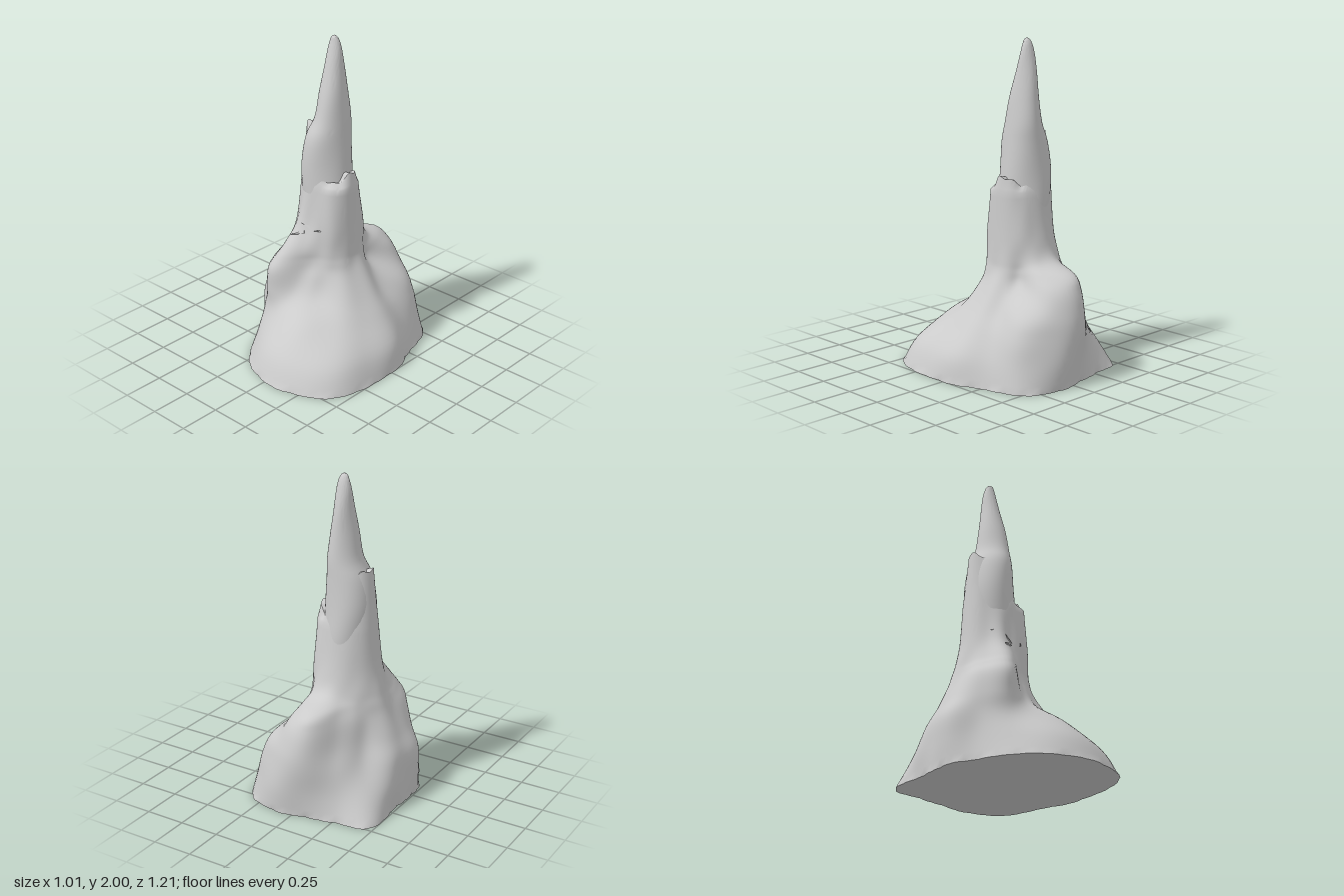
import * as THREE from 'three';
import { toCreasedNormals } from 'three/addons/utils/BufferGeometryUtils.js';

const AXIS_X = -0.08, AXIS_Z = -0.08, AROUND = 96;

// Catmull-Rom between b and c
const spline = (a, b, c, d, t) => b + 0.5 * t * (c - a + t * (2 * a - 5 * b + 4 * c - d + t * (3 * (b - c) + d - a)));

// Samples a closed list of values at u in 0..1
function around(list, u) {
  const n = list.length, f = u * n, i = Math.floor(f);
  const at = k => list[(k + n) % n];
  return spline(at(i - 1), at(i), at(i + 1), at(i + 2), f - i);
}

// Samples an open list, read through a getter, between entries j and j + 1
function along(get, count, j, t) {
  const at = k => get(THREE.MathUtils.clamp(k, 0, count - 1));
  return spline(at(j - 1), at(j), at(j + 1), at(j + 2), t);
}

// Joins closed rings of points, running from bottom to top, and closes both ends
function loft(rings) {
  const n = rings[0].length, pos = rings.flat(2), index = [];
  for (let j = 0; j < rings.length - 1; j++) {
    for (let i = 0; i < n; i++) {
      const k = (i + 1) % n, a = j * n + i, b = j * n + k;
      index.push(a, a + n, b, b, a + n, b + n);
    }
  }
  const addCap = (ring, start, up) => {
    const centre = pos.length / 3;
    pos.push(...[0, 1, 2].map(c => ring.reduce((s, p) => s + p[c], 0) / n));
    for (let i = 0; i < n; i++) {
      const k = (i + 1) % n;
      index.push(centre, start + (up ? k : i), start + (up ? i : k));
    }
  };
  addCap(rings[0], 0, false);
  addCap(rings[rings.length - 1], (rings.length - 1) * n, true);
  const g = new THREE.BufferGeometry();
  g.setAttribute('position', new THREE.Float32BufferAttribute(pos, 3));
  g.setIndex(index);
  return toCreasedNormals(g, 0.9);
}

// Rock body: radius in 16 directions (from +x towards +z) at each height
const HEIGHTS = [0, 0.15, 0.3, 0.42, 0.55, 0.63, 0.7, 0.85, 1.1];
const RADII = [
  [.575, .63, .73, .72, .66, .56, .46, .44, .41, .44, .56, .49, .49, .56, .60, .54],
  [.54, .57, .64, .64, .58, .49, .43, .44, .41, .435, .47, .45, .50, .56, .56, .50],
  [.43, .44, .45, .48, .44, .41, .41, .43, .40, .39, .37, .42, .51, .54, .52, .43],
  [.34, .34, .32, .30, .33, .40, .40, .37, .35, .32, .31, .38, .50, .51, .45, .34],
  [.26, .25, .24, .23, .27, .40, .37, .31, .29, .27, .27, .34, .47, .44, .26, .25],
  [.22, .22, .22, .20, .25, .36, .31, .27, .26, .25, .24, .29, .42, .34, .22, .22],
  [.21, .21, .215, .195, .24, .31, .26, .24, .24, .23, .22, .23, .25, .24, .21, .21],
  [.20, .205, .21, .19, .18, .21, .20, .21, .21, .20, .19, .19, .19, .19, .20, .20],
  [.19, .195, .185, .16, .155, .155, .165, .185, .19, .185, .17, .155, .15, .15, .16, .18],
];
// Broken rim of the body: it only stands clear of the spire to the sides
const RIM_Y = [1.19, 1.13, 1.25, 1.38, 1.44, 1.40, 1.25, 1.15];
const RIM_R = [.175, .145, .12, .13, .165, .13, .12, .13];

function bodyGeometry() {
  const rings = [], steps = 5, count = HEIGHTS.length, last = count - 1;
  const ring = fn => Array.from({ length: AROUND }, (_, i) => {
    const u = i / AROUND, a = u * Math.PI * 2, [r, y] = fn(u, a);
    return [AXIS_X + r * Math.cos(a), y, AXIS_Z + r * Math.sin(a)];
  });
  for (let j = 0; j < last; j++) {
    for (let s = 0; s < steps; s++) {
      const t = s / steps, y = along(k => HEIGHTS[k], count, j, t);
      rings.push(ring((u, a) => {
        const r = along(k => around(RADII[k], u), count, j, t);
        // slanting flutes, strongest half way up the skirt, and a ragged foot
        const flute = 0.006 * Math.sin(9 * a + 6 * y) * Math.sin(Math.PI * Math.min(1, y / 0.8));
        const foot = y < 0.02 ? 0.007 * Math.sin(23 * a) * Math.sin(9 * a) : 0;
        return [r + flute + foot, y];
      }));
    }
  }
  const rimY = (u, a) => around(RIM_Y, u) + 0.01 * Math.sin(11 * a);
  for (const t of [0, 0.25, 0.5, 0.75, 1]) {
    rings.push(ring((u, a) => [
      THREE.MathUtils.lerp(around(RADII[last], u), around(RIM_R, u), t),
      THREE.MathUtils.lerp(HEIGHTS[last], rimY(u, a), t),
    ]));
  }
  // inner face of the broken rim
  rings.push(ring((u, a) => [0.09, rimY(u, a) - 0.02]));
  rings.push(ring(() => [0.06, 1.12]));
  return loft(rings);
}

// Spire: height, centre x, centre z, half width, half depth
const SPIRE = [
  [0.85, -.085, -.08, .145, .15], [1.0, -.09, -.08, .15, .16], [1.2, -.105, -.078, .15, .157], [1.38, -.098, -.08, .13, .145],
  [1.5, -.077, -.095, .1, .12], [1.65, -.075, -.102, .08, .095], [1.8, -.078, -.115, .058, .066],
  [1.9, -.08, -.12, .047, .042], [1.96, -.08, -.12, .034, .026], [1.99, -.08, -.116, .02, .015], [2, -.08, -.115, .004, .004],
];

function spireGeometry() {
  const rings = [], count = SPIRE.length;
  const addRing = (j, t) => {
    const [y, cx, cz, rx, rz] = [0, 1, 2, 3, 4].map(c => along(k => SPIRE[k][c], count, j, t));
    rings.push(Array.from({ length: 48 }, (_, i) => {
      const a = i / 48 * Math.PI * 2, k = 1 + 0.025 * Math.sin(3 * a + 7 * y) * Math.min(1, (2 - y) * 4);
      return [cx + rx * k * Math.cos(a), y, cz + rz * k * Math.sin(a)];
    }));
  };
  for (let j = 0; j < count - 1; j++) for (let s = 0; s < 4; s++) addRing(j, s / 4);
  addRing(count - 2, 1);
  return loft(rings);
}

export function createModel() {
  const group = new THREE.Group();
  group.name = 'rockSpire';
  const rock = new THREE.MeshStandardMaterial({ color: 0xcccccc, roughness: 0.9 });
  const chipped = new THREE.MeshStandardMaterial({ color: 0xcccccc, flatShading: true });

  const add = (name, geometry, material) => {
    const mesh = new THREE.Mesh(geometry, material);
    mesh.name = name;
    group.add(mesh);
    return mesh;
  };
  add('rockBody', bodyGeometry(), rock);
  add('spire', spireGeometry(), rock);

  // Splinters on the front where the surface has flaked
  [[-.17, .9, .08, .5], [-.10, .84, .11, -.4], [-.14, .79, .15, .2], [0, .83, .09, -.2]].forEach(([x, y, z, tilt], i) => {
    const chip = add('splinter' + (i + 1), new THREE.ConeGeometry(0.02, 0.09, 3), chipped);
    chip.position.set(x, y, z);
    chip.rotation.set(0.3, 0.3 * i, 1.4 + tilt);
    chip.scale.z = 0.6;
  });
  return group;
}
